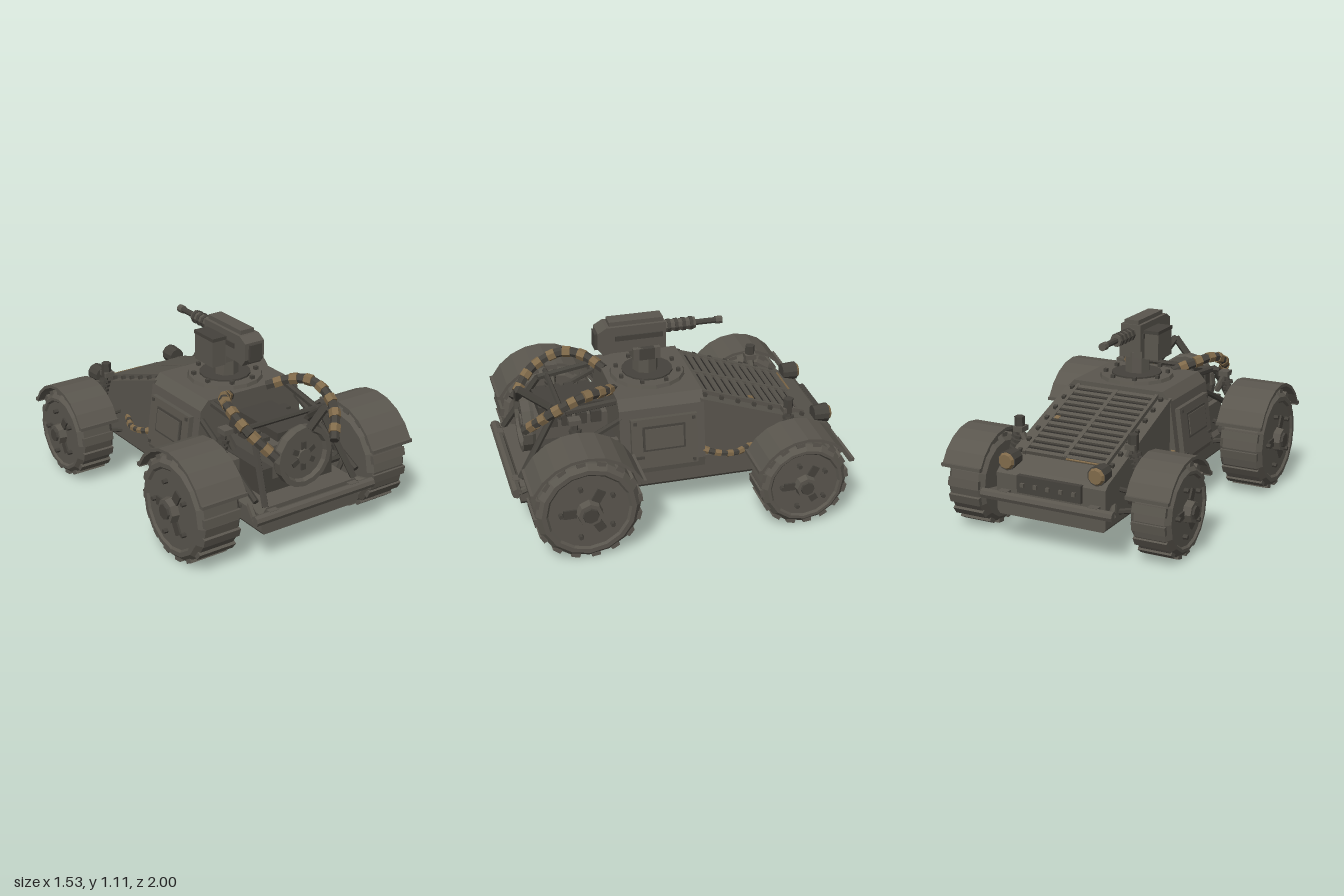
import * as THREE from 'three';

const hull = new THREE.MeshStandardMaterial({ color: 0x5a564e });
const dark = new THREE.MeshStandardMaterial({ color: 0x45423c });
const black = new THREE.MeshStandardMaterial({ color: 0x2c2a27 });
const tan = new THREE.MeshStandardMaterial({ color: 0x806a4a });
hull.name = 'hull grey'; dark.name = 'dark metal'; black.name = 'slot black'; tan.name = 'tan';

const V = (x, y, z) => new THREE.Vector3(x, y, z);

// Faceted mesh, added to its parent
function add(parent, name, geo, mat, x = 0, y = 0, z = 0) {
  const g = geo.index ? geo.toNonIndexed() : geo;
  g.computeVertexNormals();
  const m = new THREE.Mesh(g, mat);
  m.name = name;
  m.position.set(x, y, z);
  parent.add(m);
  return m;
}
const box = (p, name, mat, w, h, d, x, y, z) => add(p, name, new THREE.BoxGeometry(w, h, d), mat, x, y, z);

// Straight rod between two points
function rod(p, name, mat, a, b, r, sides = 6, r2 = r) {
  const dir = b.clone().sub(a);
  const m = add(p, name, new THREE.CylinderGeometry(r2, r, dir.length(), sides), mat);
  m.position.copy(a).addScaledVector(dir, 0.5);
  m.quaternion.setFromUnitVectors(V(0, 1, 0), dir.normalize());
  return m;
}
// Chain of rods along a bent path
function pipe(p, name, mat, pts, r) {
  for (let i = 1; i < pts.length; i++) rod(p, name, mat, pts[i - 1], pts[i], r);
}
// Armoured hose made of alternating bands
function hose(p, name, pts, r, n) {
  const s = new THREE.CatmullRomCurve3(pts).getSpacedPoints(n);
  for (let i = 0; i < n; i++)
    rod(p, name, i % 2 ? tan : dark, s[i], s[i + 1], i % 2 ? r : r * 0.85);
}
const shape = pts => new THREE.Shape(pts.map(([x, y]) => new THREE.Vector2(x, y)));

// Outline in (z, y), extruded across x
function sidePlate(pts, w) {
  return new THREE.ExtrudeGeometry(shape(pts), { depth: w, bevelEnabled: false })
    .translate(0, 0, -w / 2).rotateY(-Math.PI / 2);
}
// Outline in (x, y), extruded along z
function frontPlate(pts, z0, z1) {
  return new THREE.ExtrudeGeometry(shape(pts), { depth: z1 - z0, bevelEnabled: false }).translate(0, 0, z0);
}
const mirrored = half => [...half, ...half.slice().reverse().map(([x, y]) => [-x, y])];

// Wheel with its axle along x and outer face at +x, plus mudguard
function wheel(parent, name, side, r, w, x, y, z) {
  const g = new THREE.Group();
  g.name = name;
  g.position.set(side * x, y, z);
  if (side < 0) g.rotation.y = Math.PI;
  parent.add(g);
  const h = w / 2, R = r - 0.012;
  const prof = [[0, -h], [r * 0.8, -h], [R - 0.03, -h], [R, -h + 0.03], [R, h - 0.03], [R - 0.03, h],
    [r * 0.78, h], [r * 0.74, h - 0.012], [0, h - 0.012]].map(p => new THREE.Vector2(...p));
  add(g, 'tire', new THREE.LatheGeometry(prof, 16).rotateZ(-Math.PI / 2), hull);
  for (let i = 0; i < 16; i++) {
    const a = i * Math.PI / 8 + 0.12;
    const t = box(g, 'treadBlock', hull, w - 0.04, 0.026, 0.05, 0, Math.cos(a) * (r - 0.015), Math.sin(a) * (r - 0.015));
    t.rotation.x = a;
  }
  const cap = (n, m, rad, len, sides, cx, cy = 0, cz = 0) =>
    add(g, n, new THREE.CylinderGeometry(rad * 0.9, rad, len, sides).rotateZ(-Math.PI / 2), m, cx, cy, cz);
  cap('hub', hull, r * 0.25, 0.05, 8, h + 0.008);
  cap('hubCap', dark, r * 0.16, 0.02, 8, h + 0.035);
  for (let i = 0; i < 5; i++) {
    const a = i * Math.PI * 0.4 + 0.3;
    cap('wheelBolt', dark, 0.015, 0.03, 6, h, Math.cos(a) * r * 0.52, Math.sin(a) * r * 0.52);
  }
  for (let i = 0; i < 3; i++) {
    const a = i * Math.PI * 2 / 3 + 1.57;
    const s = box(g, 'hubSpoke', dark, 0.014, r * 0.24, r * 0.17, h - 0.008, Math.cos(a) * r * 0.35, Math.sin(a) * r * 0.35);
    s.rotation.x = a;
  }
  // Mudguard arc
  const arc = [], n = 8, a0 = 0.46, a1 = Math.PI - 0.46;
  for (let i = 0; i <= n; i++) arc.push([a0 + (a1 - a0) * i / n, r + 0.038]);
  for (let i = n; i >= 0; i--) arc.push([a0 + (a1 - a0) * i / n, r + 0.02]);
  add(g, 'mudguard', sidePlate(arc.map(([a, q]) => [Math.cos(a) * q, Math.sin(a) * q]), w + 0.015), hull);
  for (const e of [-1, 1])
    box(g, 'mudguardLip', hull, w + 0.015, 0.02, 0.03, 0, Math.sin(a0) * (r + 0.03), e * Math.cos(a0) * (r + 0.035));
}

// Suspension arms and coil spring on one side
function suspension(p, s, z, y, top) {
  for (const e of [-1, 1]) {
    rod(p, 'lowerArm', dark, V(s * 0.33, y - 0.03, z + e * 0.13), V(s * 0.47, y - 0.03, z + e * 0.02), 0.016);
    rod(p, 'upperArm', dark, V(s * 0.33, y + 0.1, z + e * 0.12), V(s * 0.47, y + 0.04, z + e * 0.02), 0.014);
  }
  rod(p, 'axle', dark, V(s * 0.32, y, z), V(s * 0.48, y, z), 0.03, 8);
  const a = V(s * 0.43, y + 0.05, z), b = V(s * 0.36, top, z);
  rod(p, 'damper', dark, a, b, 0.018);
  for (let i = 0; i < 7; i++) {
    const c = a.clone().lerp(b, 0.2 + i * 0.1), d = a.clone().lerp(b, 0.255 + i * 0.1);
    rod(p, 'springCoil', dark, c, d, 0.036, 8);
  }
  box(p, 'springCap', hull, 0.06, 0.03, 0.07, s * 0.355, top, z);
  rod(p, 'springBracket', hull, V(s * 0.3, top - 0.12, z), b, 0.02);
}

export function createModel() {
  const root = new THREE.Group();
  root.name = 'armouredBuggy';

  // Lower hull, hood and cabin
  add(root, 'lowerHull', frontPlate(mirrored([[0.325, 0.19], [0.34, 0.21], [0.34, 0.31], [0.31, 0.35]]), -0.93, 0.94), hull);
  add(root, 'hood', sidePlate([[-0.93, 0.3], [-0.12, 0.3], [-0.12, 0.73], [-0.9, 0.455], [-0.93, 0.43]], 0.68), hull);
  add(root, 'cabin', frontPlate(mirrored([[0.375, 0.31], [0.385, 0.37], [0.34, 0.71], [0.29, 0.765]]), -0.14, 0.36), hull);
  box(root, 'cabinSill', hull, 0.74, 0.06, 0.55, 0, 0.34, 0.08);

  // Sloped grille with bolts
  const grille = new THREE.Group();
  grille.name = 'grille';
  grille.position.set(0, 0.583, -0.54);
  grille.rotation.x = -Math.atan2(0.275, 0.78);
  root.add(grille);
  box(grille, 'grilleBed', black, 0.5, 0.006, 0.66, 0, 0.005, 0.09);
  for (let i = 0; i < 13; i++) {
    box(grille, 'grilleSlat', hull, 0.5, 0.022, 0.027, 0, 0.01, -0.23 + i * 0.053);
    if (i % 2 === 0) for (const s of [-1, 1]) box(grille, 'hoodBolt', dark, 0.022, 0.022, 0.022, s * 0.29, 0.008, -0.23 + i * 0.053);
  }
  box(grille, 'grilleSpine', hull, 0.025, 0.026, 0.66, 0, 0.01, 0.09);
  for (const s of [-1, 1]) box(grille, 'grilleRail', hull, 0.02, 0.026, 0.68, s * 0.255, 0.01, 0.09);
  box(grille, 'tanStripe', tan, 0.22, 0.006, 0.01, -0.13, 0.02, -0.255);
  box(grille, 'tanPatch', tan, 0.03, 0.006, 0.03, 0.22, 0.02, 0.09);

  // Nose plate
  box(root, 'nosePlate', dark, 0.4, 0.1, 0.03, 0, 0.39, -0.935);
  for (let i = -2; i <= 2; i++) box(root, 'noseBolt', hull, 0.022, 0.022, 0.02, i * 0.08, 0.39, -0.955);

  // Bumpers
  for (const e of [-1, 1]) {
    rod(root, 'bumper', hull, V(-0.41, 0.31, e * 0.97), V(0.41, 0.31, e * 0.97), 0.03, 8);
    for (const s of [-1, 1]) {
      rod(root, 'bumperStrut', hull, V(s * 0.4, 0.31, e * 0.965), V(s * 0.32, 0.31, e * 0.8), 0.018);
      box(root, 'bumperMount', hull, 0.06, 0.06, 0.06, s * 0.28, 0.31, e * 0.945);
    }
  }

  for (const s of [-1, 1]) {
    // Headlights
    rod(root, 'headlight', dark, V(s * 0.28, 0.5, -0.83), V(s * 0.28, 0.5, -0.92), 0.05, 10, 0.056);
    rod(root, 'headlightLens', tan, V(s * 0.28, 0.5, -0.92), V(s * 0.28, 0.5, -0.936), 0.05, 10, 0.04);
    box(root, 'headlightBracket', dark, 0.05, 0.07, 0.05, s * 0.28, 0.45, -0.86);

    // Cabin door with framed hatch
    const door = new THREE.Group();
    door.name = 'sideDoor';
    door.position.set(s * 0.372, 0.51, 0.105);
    door.rotation.z = s * 0.13;
    root.add(door);
    box(door, 'doorPlate', hull, 0.05, 0.3, 0.39, 0, 0, 0);
    box(door, 'hatchFrame', dark, 0.02, 0.15, 0.25, s * 0.022, 0.03, 0.005);
    box(door, 'hatch', hull, 0.03, 0.125, 0.225, s * 0.022, 0.03, 0.005);
    for (const u of [-1, 1]) for (const v of [-1, 1])
      box(door, 'doorBolt', dark, 0.014, 0.018, 0.018, s * 0.027, u * 0.13, v * 0.172);
    box(door, 'doorHandle', dark, 0.02, 0.014, 0.05, s * 0.028, -0.08, 0.15);

    // Hoses
    hose(root, 'engineHose', [V(s * 0.13, 0.75, 0.34), V(s * 0.24, 0.8, 0.44), V(s * 0.3, 0.81, 0.56),
      V(s * 0.3, 0.73, 0.74), V(s * 0.2, 0.59, 0.88)], 0.034, 15);
    hose(root, 'sideHose', [V(s * 0.345, 0.42, -0.1), V(s * 0.385, 0.39, -0.2), V(s * 0.385, 0.37, -0.32),
      V(s * 0.335, 0.38, -0.44)], 0.021, 10);

    // Engine bay frame
    pipe(root, 'bayFrame', dark, [V(s * 0.26, 0.74, 0.34), V(s * 0.24, 0.69, 0.72), V(s * 0.31, 0.35, 0.93)], 0.02);
    pipe(root, 'bayBrace', dark, [V(s * 0.33, 0.66, 0.34), V(s * 0.35, 0.38, 0.9)], 0.018);
    box(root, 'bayWall', hull, 0.04, 0.2, 0.3, s * 0.3, 0.42, 0.5);

    // Wheels and suspension
    wheel(root, 'rearWheel', s, 0.31, 0.275, 0.582, 0.322, 0.62);
    wheel(root, 'frontWheel', s, 0.268, 0.24, 0.58, 0.282, -0.645);
    suspension(root, s, 0.62, 0.32, 0.7);
    suspension(root, s, -0.645, 0.29, 0.6);
    rod(root, 'springKnob', dark, V(s * 0.36, 0.58, -0.645), V(s * 0.36, 0.67, -0.645), 0.03);
  }

  // Engine, fan and exhaust
  box(root, 'engineBase', dark, 0.5, 0.16, 0.45, 0, 0.42, 0.58);
  box(root, 'engineBlock', hull, 0.34, 0.2, 0.42, 0, 0.53, 0.6);
  box(root, 'engineTop', dark, 0.24, 0.06, 0.38, 0, 0.65, 0.59);
  for (let i = 0; i < 4; i++) for (const s of [-1, 1])
    box(root, 'cylinderHead', dark, 0.05, 0.07, 0.06, s * 0.17, 0.62, 0.46 + i * 0.085);
  rod(root, 'baySpreader', dark, V(-0.3, 0.7, 0.665), V(0.3, 0.7, 0.665), 0.016);
  const ring = [[0, 0], [0.17, 0], [0.18, 0.02], [0.18, 0.07], [0.15, 0.07], [0.14, 0.045], [0, 0.045]];
  add(root, 'fanShroud', new THREE.LatheGeometry(ring.map(p => new THREE.Vector2(...p)), 16).rotateX(Math.PI / 2), hull, 0, 0.545, 0.81);
  rod(root, 'fanHub', hull, V(0, 0.545, 0.84), V(0, 0.545, 0.875), 0.045, 8);
  for (let i = 0; i < 6; i++) {
    const a = i * Math.PI / 3;
    box(root, 'fanBlade', dark, 0.03, 0.07, 0.012, Math.sin(a) * 0.05, 0.545 + Math.cos(a) * 0.05, 0.86).rotation.z = -a;
  }
  pipe(root, 'exhaust', dark, [V(0.15, 0.62, 0.66), V(0.15, 0.7, 0.73), V(0.11, 0.81, 0.89), V(0.02, 0.71, 0.88)], 0.024);

  // Turret ring and pedestal
  rod(root, 'turretRing', hull, V(0, 0.755, 0.11), V(0, 0.785, 0.11), 0.225, 16, 0.215);
  rod(root, 'turretDisc', dark, V(0, 0.78, 0.11), V(0, 0.795, 0.11), 0.15, 16);
  for (let i = 0; i < 8; i++) {
    const a = (i + 0.5) * Math.PI / 4;
    box(root, 'ringBolt', dark, 0.022, 0.03, 0.022, Math.sin(a) * 0.185, 0.79, 0.11 + Math.cos(a) * 0.185);
  }
  rod(root, 'pedestal', hull, V(0, 0.78, 0.12), V(0, 0.92, 0.12), 0.075, 8);
  box(root, 'gunCradle', hull, 0.15, 0.07, 0.16, 0.01, 0.925, 0.13);
  box(root, 'cradlePin', dark, 0.04, 0.07, 0.09, 0.07, 0.925, 0.13);

  // Gun, pointing along -z
  add(root, 'gunBody', sidePlate([[0.01, 0.94], [0.33, 0.94], [0.38, 0.93], [0.41, 0.97], [0.41, 1.07],
    [0.36, 1.1], [0.01, 1.1]], 0.13), hull, -0.01);
  box(root, 'gunCover', hull, 0.09, 0.04, 0.32, -0.01, 1.105, 0.18);
  box(root, 'gunGrip', dark, 0.08, 0.1, 0.04, -0.01, 1.01, 0.405);
  box(root, 'gunRib', dark, 0.145, 0.03, 0.28, -0.01, 1.03, 0.17);
  box(root, 'ammoBox', hull, 0.09, 0.17, 0.18, -0.125, 0.975, 0.14);
  box(root, 'ammoLid', dark, 0.095, 0.02, 0.19, -0.125, 1.055, 0.14);
  rod(root, 'barrelJacket', hull, V(-0.01, 1.045, 0.02), V(-0.01, 1.045, -0.18), 0.036, 8);
  for (let i = 0; i < 4; i++)
    rod(root, 'jacketRing', dark, V(-0.01, 1.045, -0.01 - i * 0.045), V(-0.01, 1.045, -0.03 - i * 0.045), 0.041, 8);
  rod(root, 'barrel', dark, V(-0.01, 1.045, -0.18), V(-0.01, 1.045, -0.32), 0.018, 8);
  rod(root, 'muzzle', hull, V(-0.01, 1.045, -0.305), V(-0.01, 1.045, -0.345), 0.024, 8);
  return root;
}
